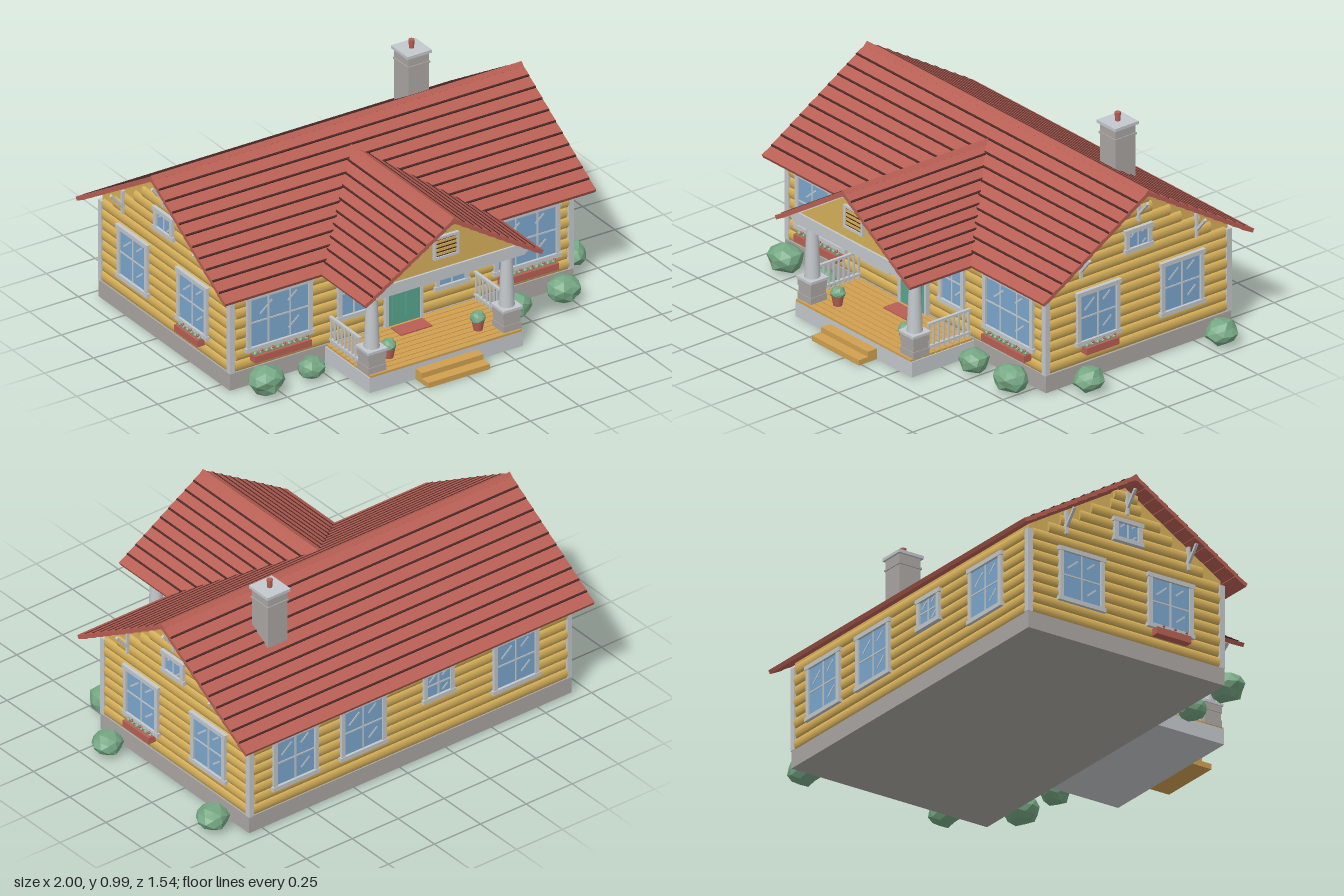
import * as THREE from 'three';

const mat = (name, color) => Object.assign(new THREE.MeshStandardMaterial({ color }), { name });
const M = {
  log: mat('log tan', 0xd6b05a), roof: mat('roof red', 0xb85f54), seam: mat('seam dark', 0x4a2825),
  trim: mat('trim grey', 0xc3c8cc), glass: mat('glass blue', 0x7ba7cd), leaf: mat('leaf green', 0x76a884),
  door: mat('door teal', 0x58a58e), stone: mat('stone grey', 0xaaa6a2), wood: mat('step wood', 0xd0a050),
};
const CX = -0.05, RIDGE_Z = -0.185, SLOPE = 0.615, PORCH_SLOPE = 0.63;

function add(parent, name, geo, m, x = 0, y = 0, z = 0) {
  const mesh = new THREE.Mesh(geo, m);
  mesh.name = name;
  mesh.position.set(x, y, z);
  parent.add(mesh);
  return mesh;
}
const box = (p, name, m, w, h, d, x, y, z) => add(p, name, new THREE.BoxGeometry(w, h, d), m, x, y, z);
function group(parent, name, x = 0, y = 0, z = 0, ry = 0) {
  const g = new THREE.Group();
  g.name = name;
  g.position.set(x, y, z);
  g.rotation.y = ry;
  parent.add(g);
  return g;
}
// Solid with an outline in XY, running from z0 to z1
function prism(parent, name, m, pts, z0, z1) {
  const shape = new THREE.Shape(pts.map(([x, y]) => new THREE.Vector2(x, y)));
  return add(parent, name, new THREE.ExtrudeGeometry(shape, { depth: z1 - z0, bevelEnabled: false }), m, 0, 0, z0);
}

// Gabled roof of overlapping boards; ridge along z, span(d) gives the z range at distance d from the ridge
function boardRoof(parent, ridge, slope, runs, count, span) {
  const a = Math.atan(slope);
  [-1, 1].forEach((s, k) => {
    const step = runs[k] / count, len = step / Math.cos(a);
    for (let i = 0; i < count; i++) {
      const [z0, z1] = span(i * step), d = (i + 0.5) * step;
      const g = group(parent, 'roofCourse', s * d, ridge - slope * d - 0.012, (z0 + z1) / 2);
      g.rotation.z = -s * (a - 0.07);
      box(g, 'roofBoard', M.roof, len + 0.006, 0.018, z1 - z0, 0, 0, 0);
      if (i < count - 1) box(g, 'boardSeam', M.seam, 0.008, 0.018, z1 - z0 - 0.004, s * (len / 2 + 0.003), 0.0015, 0);
    }
  });
  const [c0, c1] = span(0);
  const cap = box(parent, 'ridgeCap', M.roof, 0.024, 0.024, c1 - c0, 0, ridge - 0.012, (c0 + c1) / 2);
  cap.rotation.z = Math.PI / 4;
}

// Half-sunk log lying along x on a wall facing +z
function log(parent, x, y, len) {
  const g = new THREE.CylinderGeometry(0.026, 0.026, len, 12);
  g.rotateZ(Math.PI / 2).scale(1, 1, 0.55);
  add(parent, 'log', g, M.log, x, y, 0);
}

// Framed window centred at x, spanning y0..y1 on a wall facing +z
function windowUnit(parent, x, y0, y1, w, cols, rows) {
  const h = y1 - y0, g = group(parent, 'window', x, (y0 + y1) / 2, 0);
  box(g, 'glass', M.glass, w - 0.02, h - 0.02, 0.032, 0, 0, 0);
  for (const s of [-1, 1]) {
    box(g, 'frameSide', M.trim, 0.02, h, 0.05, s * (w / 2 - 0.01), 0, 0);
    box(g, 'frameRail', M.trim, w + 0.012, 0.02, 0.056, 0, s * (h / 2 - 0.01), 0);
  }
  for (let i = 1; i < cols; i++) box(g, 'muntin', M.trim, 0.007, h - 0.03, 0.038, (i / cols - 0.5) * w, 0, 0);
  for (let i = 1; i < rows; i++) box(g, 'muntin', M.trim, w - 0.03, 0.007, 0.038, 0, (i / rows - 0.5) * h, 0);
  // Glints on the panes
  [[-0.2, 0.22, 0.3], [0.2, 0.28, 0.22], [0.22, -0.2, 0.25]].forEach(([u, v, l]) => {
    box(g, 'glint', M.trim, Math.min(w, h) * l, 0.008, 0.003, u * w, v * h, 0.0165).rotation.z = 0.7;
  });
}

// Foliage clump: faceted ball with a repeatable wobble
function foliage(parent, name, r, x, y, z, sy = 0.8) {
  const geo = new THREE.IcosahedronGeometry(r, 1), p = geo.attributes.position, v = new THREE.Vector3();
  for (let i = 0; i < p.count; i++) {
    v.fromBufferAttribute(p, i);
    const n = v.clone().divideScalar(r);
    v.multiplyScalar(0.96 + 0.09 * Math.sin(7 * n.x + 5 * n.y + 9 * n.z + x * 20));
    p.setXYZ(i, v.x, v.y * sy, v.z);
  }
  geo.computeVertexNormals();
  add(parent, name, geo, M.leaf, x, y, z);
}

function flowerBox(parent, x, y, w) {
  const g = group(parent, 'flowerBox', x, y, 0.03);
  box(g, 'boxBody', M.roof, w, 0.032, 0.04, 0, 0, 0);
  const n = Math.round(w / 0.028);
  for (let i = 0; i < n; i++) {
    const u = ((i + 0.5) / n - 0.5) * w;
    add(g, 'sprig', new THREE.IcosahedronGeometry(0.012, 0), M.leaf, u, 0.02, 0);
    if (i % 2) add(g, 'blossom', new THREE.IcosahedronGeometry(0.007, 0), M.roof, u, 0.032, 0.006);
  }
}

function buildWalls(house) {
  box(house, 'foundation', M.stone, 1.755, 0.08, 1.025, -0.0525, 0.04, -0.1875);
  const core = group(house, 'wallCore', 0, 0, 0, -Math.PI / 2);
  prism(core, 'walls', M.log, [[-0.69, 0.08], [0.315, 0.08], [0.315, 0.495], [RIDGE_Z, 0.8], [-0.69, 0.495]], -0.812, 0.917);
  const front = group(house, 'frontWall', -0.0525, 0, 0.315);
  const back = group(house, 'backWall', -0.0525, 0, -0.69, Math.PI);
  const ends = [group(house, 'leftWall', 0.812, 0, -0.1875, Math.PI / 2), group(house, 'rightWall', -0.917, 0, -0.1875, -Math.PI / 2)];
  for (let i = 0; i < 8; i++) {
    const y = 0.106 + i * 0.05;
    const inset = (i % 2) * 0.02;
    for (const w of [front, back]) log(w, 0, y, 1.71 - inset);
    for (const w of ends) log(w, 0, y, 0.99 - inset);
  }
  for (const x of [-0.918, 0.813]) for (const z of [-0.69, 0.315])
    box(house, 'cornerPost', M.trim, 0.026, 0.39, 0.026, x, 0.275, z);

  // Front and back openings
  const at = x => x + 0.0525;
  for (const s of [-1, 1]) {
    windowUnit(front, at(CX + s * 0.632), 0.165, 0.435, 0.335, 3, 2);
    flowerBox(front, at(CX + s * 0.632), 0.135, 0.29);
    windowUnit(front, at(CX + s * 0.25), 0.18, 0.43, 0.17, 2, 2);
  }
  for (const x of [0.578, 0.21, -0.62]) windowUnit(back, -at(x), 0.17, 0.43, 0.245, 2, 2);
  windowUnit(back, -at(-0.2), 0.28, 0.43, 0.165, 2, 2);

  // Gable ends
  ends.forEach((w, k) => {
    const s = k ? 1 : -1; // local x that points to the front
    const f = z => s * (z + 0.1875);
    for (let i = 0; i < 6; i++) {
      const y = 0.506 + i * 0.05, half = (0.8 - y) / SLOPE - 0.075 + (i % 2) * 0.02;
      log(w, 0, y, Math.max(half, 0.06) * 2);
    }
    windowUnit(w, f(0.04), 0.17, 0.425, 0.235, 2, 2);
    windowUnit(w, f(-0.425), 0.17, 0.425, 0.235, 2, 2);
    windowUnit(w, f(-0.183), 0.53, 0.64, 0.145, 2, 1);
    flowerBox(w, f(0.037), 0.148, 0.18);
    // Brackets under the overhang
    for (const [z, y] of [[RIDGE_Z, 0.72], [0.135, 0.545], [-0.505, 0.545]]) {
      box(w, 'bracketPost', M.trim, 0.012, 0.11, 0.016, f(z), y, 0.016);
      box(w, 'bracketBrace', M.trim, 0.012, 0.1, 0.012, f(z), y + 0.01, 0.045).rotation.x = 0.7;
    }
  });
}

function buildDoor(house) {
  const g = group(house, 'door', CX, 0, 0.325);
  box(g, 'doorLeaf', M.door, 0.165, 0.35, 0.03, 0, 0.255, 0);
  for (const s of [-1, 1]) {
    box(g, 'doorJamb', M.trim, 0.014, 0.36, 0.044, s * 0.089, 0.26, 0);
    box(g, 'doorPanel', M.door, 0.05, 0.18, 0.042, s * 0.034, 0.205, 0);
  }
  box(g, 'doorHead', M.trim, 0.192, 0.014, 0.044, 0, 0.434, 0);
  box(g, 'doorGlass', M.glass, 0.11, 0.075, 0.034, 0, 0.365, 0);
  for (const x of [-0.02, 0.02]) box(g, 'doorMuntin', M.door, 0.006, 0.075, 0.04, x, 0.365, 0);
  add(g, 'doorKnob', new THREE.SphereGeometry(0.008, 10, 8), M.trim, 0.07, 0.25, 0.022);
  // Wall lantern beside the door
  box(g, 'lanternArm', M.seam, 0.008, 0.008, 0.055, 0.125, 0.42, 0.025);
  box(g, 'lanternBody', M.wood, 0.02, 0.04, 0.02, 0.125, 0.355, 0.045);
  add(g, 'lanternCap', new THREE.ConeGeometry(0.022, 0.025, 8), M.seam, 0.125, 0.388, 0.045);
  box(g, 'lanternFoot', M.seam, 0.024, 0.008, 0.024, 0.125, 0.333, 0.045);
}

function buildPorch(house) {
  const g = group(house, 'porch', CX, 0, 0);
  box(g, 'porchBase', M.trim, 0.785, 0.072, 0.345, 0, 0.036, 0.4975);
  for (let i = 0; i < 10; i++) box(g, 'deckBoard', M.wood, 0.775, 0.01, 0.03, 0, 0.077, 0.345 + i * 0.0345);
  box(g, 'doorMat', M.roof, 0.16, 0.006, 0.08, 0, 0.085, 0.4);
  box(g, 'upperStep', M.wood, 0.315, 0.05, 0.05, 0, 0.025, 0.695);
  box(g, 'lowerStep', M.wood, 0.315, 0.025, 0.05, 0, 0.0125, 0.745);
  for (const s of [-1, 1]) {
    // Column on a stacked stone pier
    for (let i = 0; i < 3; i++)
      box(g, 'pierStone', M.stone, 0.09 - (i % 2) * 0.006, 0.034, 0.09 - (i % 2) * 0.006, s * 0.345, 0.095 + i * 0.034, 0.615);
    box(g, 'pierCap', M.trim, 0.1, 0.012, 0.1, s * 0.345, 0.184, 0.615);
    add(g, 'column', new THREE.CylinderGeometry(0.024, 0.035, 0.27, 20), M.trim, s * 0.345, 0.32, 0.615);
    box(g, 'columnHead', M.trim, 0.06, 0.015, 0.06, s * 0.345, 0.436, 0.615);
    // Side railing
    for (const y of [0.105, 0.212]) box(g, 'rail', M.trim, 0.014, 0.01, 0.235, s * 0.37, y, 0.447);
    for (let i = 0; i < 9; i++) box(g, 'baluster', M.trim, 0.008, 0.13, 0.008, s * 0.37, 0.147, 0.338 + i * 0.0275);
    // Potted plant
    const pot = group(g, 'pottedPlant', s * 0.228, 0, 0.57);
    add(pot, 'pot', new THREE.CylinderGeometry(0.028, 0.02, 0.045, 12), M.roof, 0, 0.105, 0);
    foliage(pot, 'potFoliage', 0.036, 0, 0.142, 0);
  }
  // Beam, ceiling and gable
  prism(g, 'beam', M.trim, [[-0.4, 0.44], [0.4, 0.44], [0.43, 0.462], [0.375, 0.495], [-0.375, 0.495], [-0.43, 0.462]], 0.34, 0.67);
  prism(g, 'porchGable', M.log, [[-0.37, 0.495], [0.37, 0.495], [0, 0.728]], 0.4, 0.66);
  const vent = group(g, 'gableVent', 0, 0.6, 0.665);
  box(vent, 'ventBack', M.seam, 0.11, 0.09, 0.008, 0, 0, 0);
  for (const s of [-1, 1]) {
    box(vent, 'ventSide', M.trim, 0.012, 0.105, 0.02, s * 0.058, 0, 0);
    box(vent, 'ventRail', M.trim, 0.128, 0.012, 0.02, 0, s * 0.048, 0);
  }
  for (let i = 0; i < 4; i++) box(vent, 'ventSlat', M.log, 0.105, 0.012, 0.014, 0, -0.03 + i * 0.02, 0);
  // Porch roof, cut off where it meets the main slope
  boardRoof(g, 0.758, PORCH_SLOPE, [0.45, 0.45], 10,
    d => [RIDGE_Z + (0.83 - 0.758 + PORCH_SLOPE * d) / SLOPE - 0.015, 0.73]);
}

function buildChimney(house) {
  const g = group(house, 'chimney', 0.457, 0, -0.375);
  box(g, 'stack', M.stone, 0.105, 0.33, 0.11, 0, 0.765, 0);
  box(g, 'stackBand', M.stone, 0.114, 0.008, 0.119, 0, 0.885, 0);
  box(g, 'chimneyCap', M.trim, 0.125, 0.014, 0.13, 0, 0.937, 0);
  add(g, 'flue', new THREE.CylinderGeometry(0.014, 0.011, 0.042, 10), M.roof, 0, 0.963, 0);
}

export function createModel() {
  const house = new THREE.Group();
  house.name = 'logHouse';
  buildWalls(house);
  buildDoor(house);
  buildPorch(house);
  buildChimney(house);
  const roof = group(house, 'mainRoof', 0, 0, RIDGE_Z, -Math.PI / 2);
  boardRoof(roof, 0.83, SLOPE, [0.578, 0.575], 11, () => [-0.895, 1]);
  // Bushes around the foundation
  [[-0.81, 0.42, 0.083], [-0.57, 0.415, 0.064], [0.465, 0.425, 0.07], [0.71, 0.425, 0.08],
    [0.918, 0.165, 0.072], [0.922, -0.565, 0.076]].forEach(([x, z, r]) => foliage(house, 'bush', r, x, r * 0.76, z));
  return house;
}
